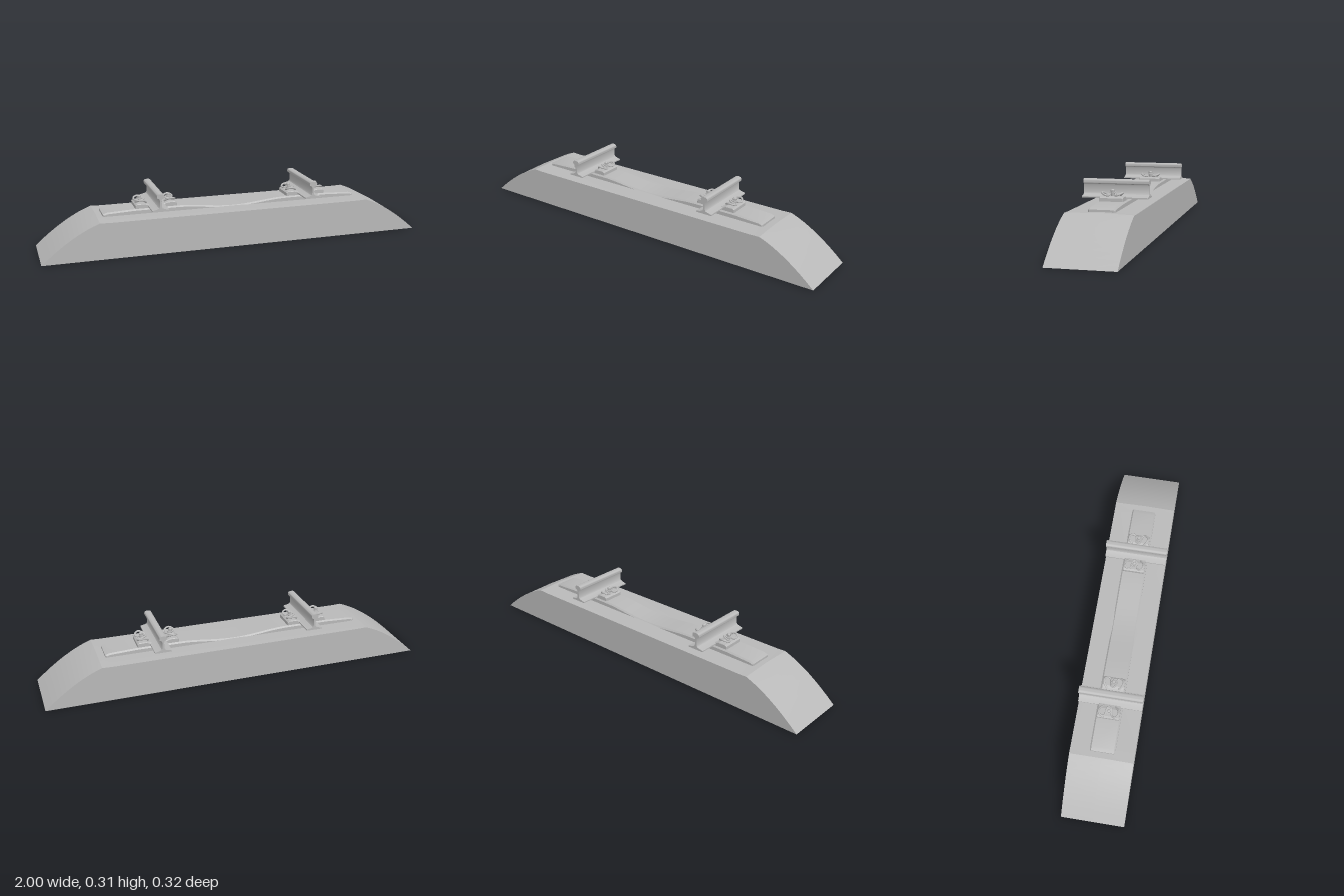
import * as THREE from 'three';
import { toCreasedNormals } from 'three/addons/utils/BufferGeometryUtils.js';

const grey = new THREE.MeshStandardMaterial({ color: 0xb8b8b8 });
grey.name = 'grey';

function add(parent, geometry, name) {
  const mesh = new THREE.Mesh(geometry, grey);
  mesh.name = name;
  parent.add(mesh);
  return mesh;
}

// Extrudes an outline in x and y along z, centred, with an optional inward chamfer.
function extrude(shape, depth, bevel = 0, steps = 1, curveSegments = 8) {
  const g = new THREE.ExtrudeGeometry(shape, {
    depth: depth - 2 * bevel, steps, curveSegments,
    bevelEnabled: bevel > 0, bevelThickness: bevel, bevelSize: bevel,
    bevelOffset: -bevel, bevelSegments: 1,
  });
  return g.translate(0, 0, bevel - depth / 2);
}

const outline = (points) => new THREE.Shape(points.map(([x, y]) => new THREE.Vector2(x, y)));

// Right half of a symmetric outline, from bottom to top, mirrored to the left.
const mirrored = (half) => outline([...half, ...half.slice().reverse().map(([x, y]) => [-x, y])]);

// Ballast bed with curved shoulders and a slight crown along its middle.
function ballastGeometry() {
  const s = new THREE.Shape();
  s.moveTo(-1, 0);
  s.lineTo(1, 0);
  s.quadraticCurveTo(0.845, 0.14, 0.71, 0.187);
  s.lineTo(0.66, 0.185);
  s.lineTo(-0.66, 0.185);
  s.lineTo(-0.71, 0.187);
  s.quadraticCurveTo(-0.845, 0.14, -1, 0);
  const g = extrude(s, 0.324, 0, 2);
  const p = g.attributes.position;
  for (let i = 0; i < p.count; i++) {
    if (Math.abs(p.getZ(i)) < 0.01) p.setY(i, p.getY(i) + 0.005 * Math.min(1, p.getY(i) / 0.185));
  }
  g.computeVertexNormals();
  return toCreasedNormals(g, 0.35);
}

// Concrete sleeper, dipping in the middle.
function sleeperGeometry() {
  const half = [[0.678, 0.165], [0.678, 0.2], [0.655, 0.207], [0.52, 0.213], [0.3, 0.213]];
  for (let i = 1; i < 10; i++) {
    const x = 0.3 * (1 - i / 10);
    half.push([x, 0.202 - 0.011 * Math.cos(Math.PI * x / 0.3)]);
  }
  half.push([0.001, 0.191]);
  return toCreasedNormals(extrude(mirrored(half), 0.128, 0.007), 0.4);
}

// Rail with foot, web and rounded head.
function railGeometry() {
  const half = [
    [0.043, 0.22], [0.043, 0.226], [0.02, 0.231], [0.009, 0.236], [0.005, 0.243],
    [0.0045, 0.275], [0.007, 0.283], [0.017, 0.287], [0.0185, 0.291],
    [0.0185, 0.299], [0.016, 0.304], [0.011, 0.307], [0.004, 0.308],
  ];
  return toCreasedNormals(extrude(mirrored(half), 0.324), 0.6);
}

// Guide plate beside the rail foot.
const guideGeometry = () => extrude(outline([
  [0.036, 0.208], [0.107, 0.208], [0.107, 0.229], [0.098, 0.236],
  [0.06, 0.236], [0.046, 0.231], [0.036, 0.229],
]), 0.114, 0.003);

// Sprung clamp: a middle loop round the bolt and two splayed arms reaching over the foot.
function clampGeometry() {
  const arm = [
    [0.057, 0.247, 0.009], [0.075, 0.243, 0.014], [0.092, 0.24, 0.017], [0.101, 0.243, 0.028],
    [0.096, 0.249, 0.042], [0.08, 0.253, 0.05], [0.063, 0.249, 0.045], [0.047, 0.238, 0.031],
  ].map((q) => new THREE.Vector3(...q));
  const other = arm.slice().reverse().map((v) => new THREE.Vector3(v.x, v.y, -v.z));
  const path = new THREE.CatmullRomCurve3([...other, new THREE.Vector3(0.051, 0.247, 0), ...arm]);
  return new THREE.TubeGeometry(path, 72, 0.0048, 8);
}

function fastening(side) {
  const g = new THREE.Group();
  g.name = 'fastening';
  add(g, guideGeometry(), 'guidePlate');
  add(g, clampGeometry(), 'springClamp');
  // Rounded ends of the clamp wire
  for (const z of [-0.031, 0.031]) {
    add(g, new THREE.SphereGeometry(0.0048, 8, 6), 'clampEnd').position.set(0.047, 0.238, z);
  }
  // Bolt, washer, hexagonal head and domed tip, leaning slightly outwards
  const bolt = new THREE.Group();
  bolt.name = 'bolt';
  const parts = [
    [0.008, 0.03, 16, 0.238, 'boltShank'],
    [0.0155, 0.003, 20, 0.2535, 'washer'],
    [0.0105, 0.01, 6, 0.26, 'boltHead'],
  ];
  for (const [r, h, n, y, name] of parts) {
    add(bolt, new THREE.CylinderGeometry(r, r, h, n), name).position.y = y - 0.238;
  }
  const dome = add(bolt, new THREE.SphereGeometry(0.0085, 14, 6, 0, Math.PI * 2, 0, Math.PI / 2), 'boltTip');
  dome.position.y = 0.027;
  dome.scale.y = 0.55;
  bolt.position.set(0.074, 0.238, 0);
  bolt.rotation.z = -0.1;
  g.add(bolt);
  if (side < 0) g.rotation.y = Math.PI;
  return g;
}

export function createModel() {
  const model = new THREE.Group();
  model.name = 'trackSection';
  add(model, ballastGeometry(), 'ballastBed');
  const track = new THREE.Group();
  track.name = 'track';
  track.position.x = -0.003;
  model.add(track);
  add(track, sleeperGeometry(), 'sleeper');

  for (const x of [-0.405, 0.405]) {
    const assembly = new THREE.Group();
    assembly.name = 'railAssembly';
    assembly.position.x = x;
    add(assembly, railGeometry(), 'rail');
    add(assembly, new THREE.BoxGeometry(0.08, 0.012, 0.11), 'railPad').position.y = 0.214;
    for (const side of [-1, 1]) assembly.add(fastening(side));
    track.add(assembly);
  }
  return model;
}
